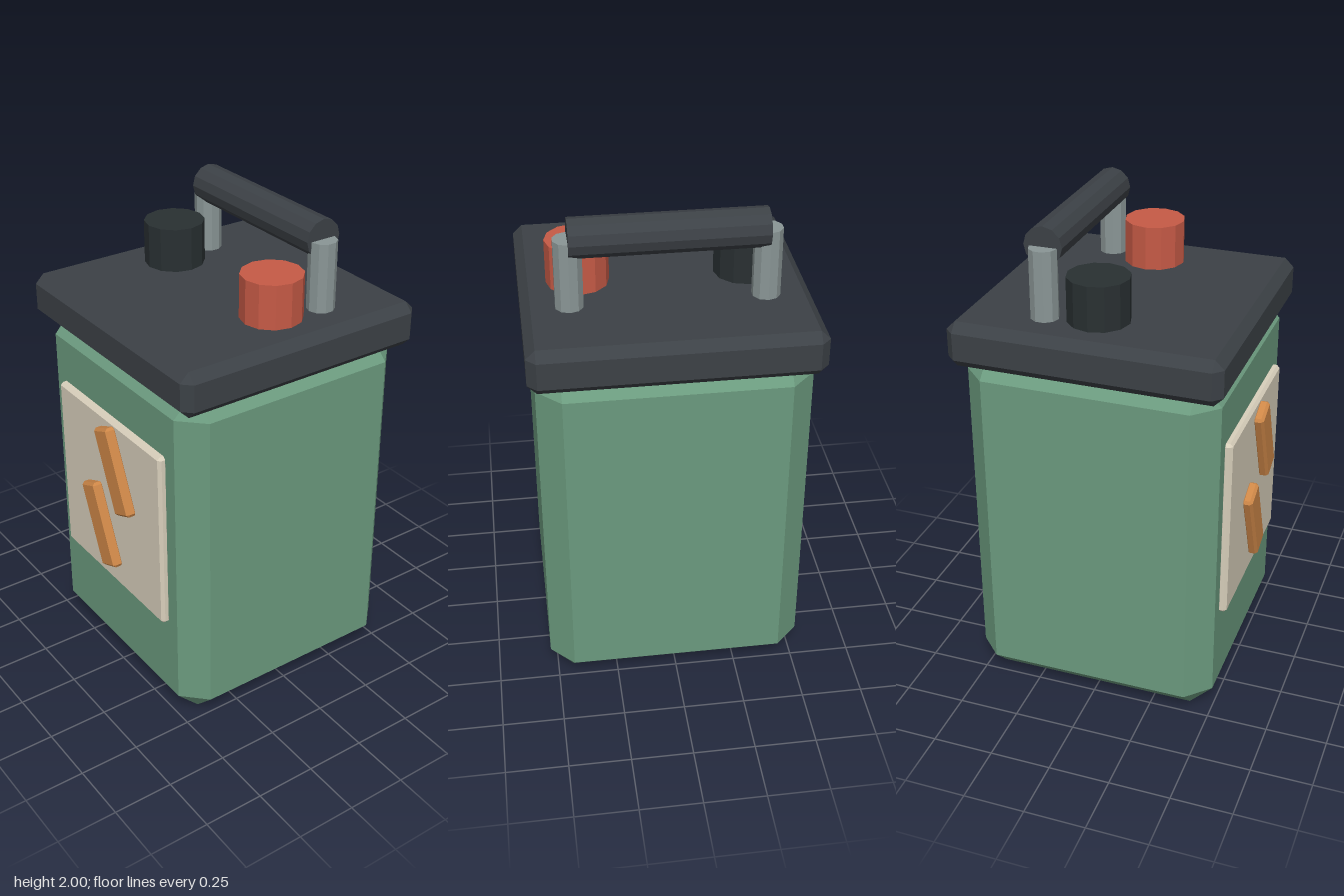
import * as THREE from 'three';
import { ConvexGeometry } from 'three/addons/geometries/ConvexGeometry.js';

const mat = (color) => new THREE.MeshStandardMaterial({ color, flatShading: true });
const green = mat(0x6b9a7e), charcoal = mat(0x3c4146), black = mat(0x293032);
const red = mat(0xc65a46), steel = mat(0x8a9696), cream = mat(0xd9d0bc), orange = mat(0xcf8848);

// Box with every edge cut by a 45 degree chamfer c
function chamferBox(w, h, d, c) {
  const points = [];
  for (const sx of [-1, 1]) for (const sy of [-1, 1]) for (const sz of [-1, 1]) {
    const x = w / 2, y = h / 2, z = d / 2;
    points.push(
      new THREE.Vector3(sx * x, sy * (y - c), sz * (z - c)),
      new THREE.Vector3(sx * (x - c), sy * y, sz * (z - c)),
      new THREE.Vector3(sx * (x - c), sy * (y - c), sz * z));
  }
  return new ConvexGeometry(points);
}

export function createModel() {
  const model = new THREE.Group();
  model.name = 'battery';

  function add(name, geometry, material, x, y, z) {
    const mesh = new THREE.Mesh(geometry, material);
    mesh.name = name;
    mesh.position.set(x, y, z);
    model.add(mesh);
    return mesh;
  }

  // Case and lid
  add('case', chamferBox(1.06, 1.5, 1.03, 0.095), green, 0, 0.75, -0.016);
  add('lid', chamferBox(1.12, 0.185, 1.092, 0.037), charcoal, 0, 1.5475, -0.019);

  // Front label with a two-piece bolt mark
  add('label', chamferBox(0.75, 0.78, 0.04, 0.012), cream, 0, 0.83, 0.508);
  for (const [name, x, y] of [['upperBolt', 0.074, 1.018], ['lowerBolt', -0.048, 0.703]]) {
    add(name, chamferBox(0.115, 0.368, 0.046, 0.011), orange, x, y, 0.543).rotation.z = 0.4;
  }

  // Terminals
  const terminal = new THREE.CylinderGeometry(0.124, 0.124, 0.22, 12);
  add('negativeTerminal', terminal, black, -0.329, 1.71, -0.021);
  add('positiveTerminal', terminal, red, 0.329, 1.71, -0.021);

  // Carrying handle on two posts
  const post = new THREE.CylinderGeometry(0.056, 0.056, 0.32, 10);
  add('rightHandlePost', post, steel, -0.376, 1.76, -0.222);
  add('leftHandlePost', post, steel, 0.376, 1.76, -0.222);
  const grip = new THREE.CylinderGeometry(0.077, 0.077, 0.75, 12);
  add('handleGrip', grip, charcoal, 0, 1.923, -0.223).rotation.z = Math.PI / 2;

  return model;
}
